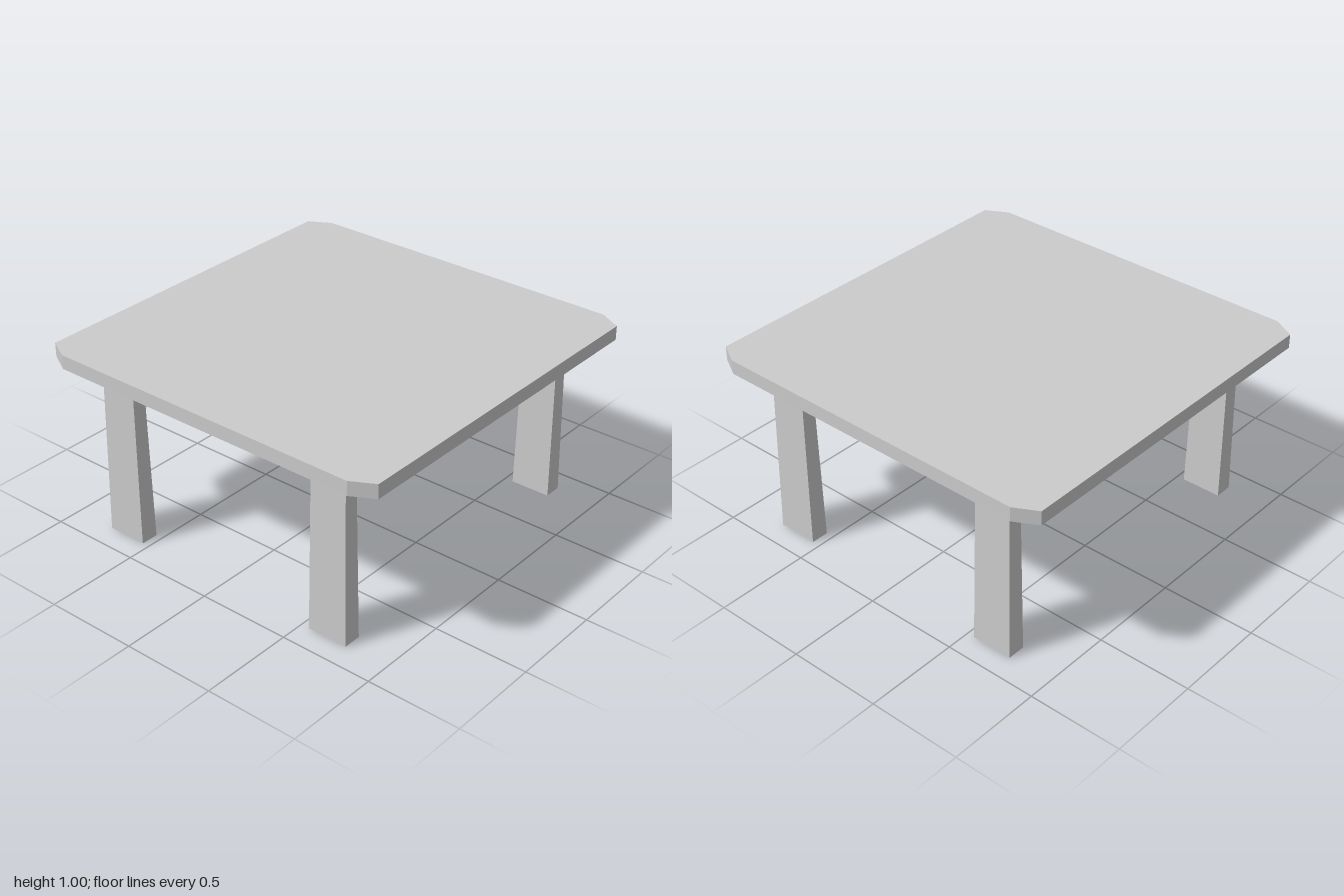
import * as THREE from 'three';

export function createModel() {
  const group = new THREE.Group();
  const material = new THREE.MeshStandardMaterial({ color: 0xcccccc, flatShading: true });

  // Tabletop: a slab with clipped corners
  const halfX = 1, halfZ = 0.992, clipX = 0.065, clipZ = 0.118, thickness = 0.075;
  const outline = new THREE.Shape([
    [halfX, halfZ - clipZ], [halfX - clipX, halfZ],
    [clipX - halfX, halfZ], [-halfX, halfZ - clipZ],
    [-halfX, clipZ - halfZ], [clipX - halfX, -halfZ],
    [halfX - clipX, -halfZ], [halfX, clipZ - halfZ],
  ].map(([x, y]) => new THREE.Vector2(x, y)));
  const topGeometry = new THREE.ExtrudeGeometry(outline, { depth: thickness, bevelEnabled: false });
  topGeometry.rotateX(-Math.PI / 2);
  const top = new THREE.Mesh(topGeometry, material);
  top.name = 'tabletop';
  top.position.y = 1 - thickness;
  group.add(top);

  // Leg: a box that widens slightly towards the floor, ending just under the top
  const legHeight = 0.915;
  const legGeometry = new THREE.BoxGeometry(0.096, legHeight, 0.219);
  legGeometry.translate(0, legHeight / 2, 0);
  const p = legGeometry.attributes.position;
  for (let i = 0; i < p.count; i++) {
    if (p.getY(i) > legHeight / 2) {
      p.setX(i, p.getX(i) * 0.76);
      p.setZ(i, p.getZ(i) * 0.905);
    }
  }
  legGeometry.computeVertexNormals();

  for (const [xSide, xName] of [[1, 'Left'], [-1, 'Right']]) {
    for (const [z, zName] of [[0.655, 'front'], [-0.65, 'back']]) {
      const leg = new THREE.Mesh(legGeometry, material);
      leg.name = `${zName}${xName}Leg`;
      leg.position.set(xSide * 0.825, 0, z);
      group.add(leg);
    }
  }
  return group;
}
